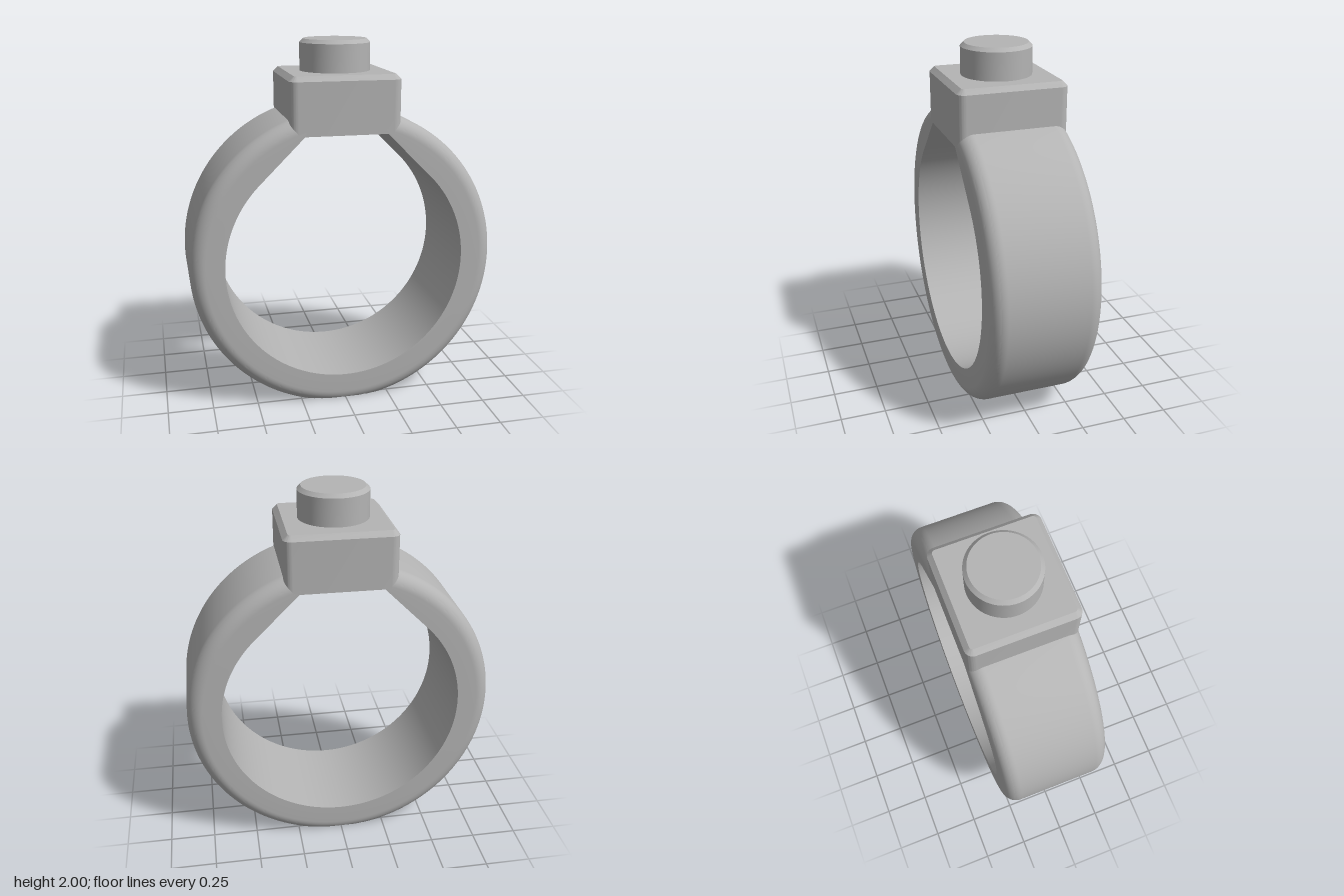
import * as THREE from 'three';
import { toCreasedNormals } from 'three/addons/utils/BufferGeometryUtils.js';

const CENTRE_Y = 0.81, OUTER = 0.845, INNER = 0.66, HALF_WIDTH = 0.3, FILLET = 0.08;

// Skins a list of cross-sections (rows of Vector3, equal length)
function loft(rows) {
  const pos = [];
  const tri = (a, b, c) => {
    if (a.distanceTo(b) < 1e-6 || b.distanceTo(c) < 1e-6 || c.distanceTo(a) < 1e-6) return;
    for (const p of [a, b, c]) pos.push(p.x, p.y, p.z);
  };
  for (let i = 0; i < rows.length - 1; i++) {
    const r = rows[i], s = rows[i + 1];
    for (let j = 0; j < r.length - 1; j++) {
      tri(r[j], s[j], r[j + 1]);
      tri(s[j], s[j + 1], r[j + 1]);
    }
  }
  const geo = new THREE.BufferGeometry();
  geo.setAttribute('position', new THREE.Float32BufferAttribute(pos, 3));
  return toCreasedNormals(geo, 0.24);
}

// Horizontal rounded square; a corner radius equal to half gives a circle
function roundedSquare(half, radius, y, steps = 16) {
  const row = [];
  for (let q = 0; q < 4; q++) {
    const mid = Math.PI / 4 + q * Math.PI / 2;
    const cx = Math.sign(Math.cos(mid)) * (half - radius);
    const cz = Math.sign(Math.sin(mid)) * (half - radius);
    for (let k = 0; k <= steps; k++) {
      const a = (q + k / steps) * Math.PI / 2;
      row.push(new THREE.Vector3(cx + radius * Math.cos(a), y, cz + radius * Math.sin(a)));
    }
  }
  row.push(row[0].clone());
  return row;
}

// Upright solid with a chamfered top edge
function chamferedBlock(half, radius, y0, y1, chamfer) {
  return loft([
    roundedSquare(0, 0, y0),
    roundedSquare(half, radius, y0),
    roundedSquare(half, radius, y1 - chamfer),
    roundedSquare(half - chamfer, radius - chamfer, y1),
    roundedSquare(0, 0, y1),
  ]);
}

// Band section at one angle: straight 45 degree shoulders inside, flat foot outside
function bandSection(deg) {
  const t = THREE.MathUtils.degToRad(deg);
  const c = Math.cos(t), s = Math.sin(t);
  const up = Math.atan2(s, Math.abs(c));
  const inner = INNER / Math.cos(Math.max(0, up - Math.PI / 4));
  const limit = s < 0 ? CENTRE_Y / -s : Infinity;
  const profile = [[inner, -HALF_WIDTH], [inner, HALF_WIDTH]];
  const steps = 12;
  for (const side of [1, -1]) {
    for (let k = 0; k <= steps; k++) {
      const a = (side > 0 ? k : steps - k) / steps * Math.PI / 2;
      profile.push([
        OUTER - FILLET + FILLET * Math.sin(a),
        side * (HALF_WIDTH - FILLET + FILLET * Math.cos(a)),
      ]);
    }
  }
  profile.push([inner, -HALF_WIDTH]);
  return profile.map(([r, z]) => {
    const d = Math.min(r, limit);
    return new THREE.Vector3(d * c, CENTRE_Y + d * s, z);
  });
}

export function createModel() {
  const group = new THREE.Group();
  const metal = new THREE.MeshStandardMaterial({ color: 0xb4b4b4 });
  metal.name = 'grey metal';

  const add = (name, geometry) => {
    const mesh = new THREE.Mesh(geometry, metal);
    mesh.name = name;
    group.add(mesh);
  };

  // Band sweeps clockwise, both ends buried in the head block
  const sections = [];
  for (let k = 0; k <= 327; k++) sections.push(bandSection(73.5 - k));
  add('band', loft(sections));

  // Square head and round button
  add('headBlock', chamferedBlock(0.3, 0.045, 1.52, 1.83, 0.027));
  add('button', chamferedBlock(0.192, 0.192, 1.82, 2, 0.02));

  return group;
}
